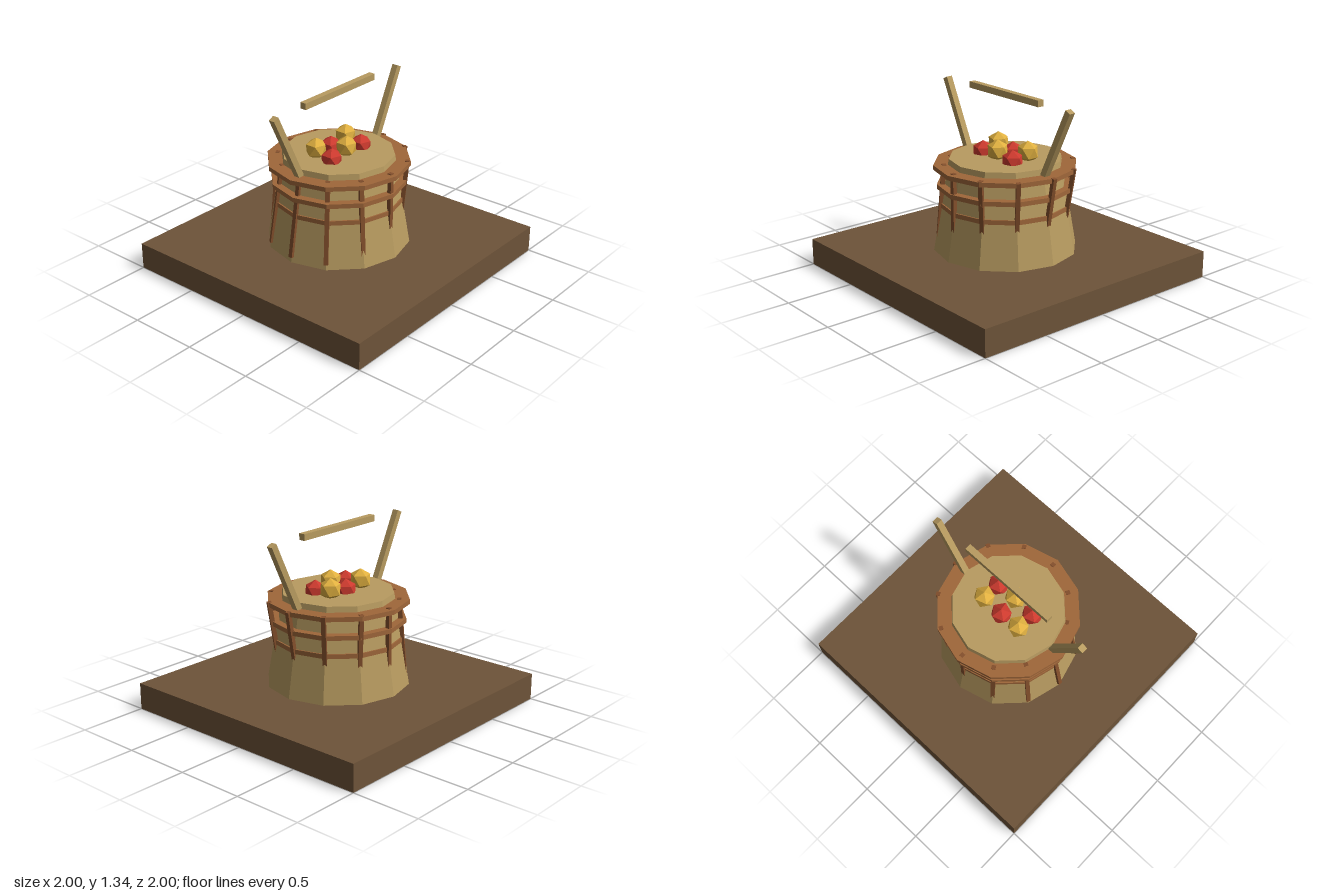
import * as THREE from 'three';

const mat = (color) => new THREE.MeshStandardMaterial({ color, flatShading: true });

export function createModel() {
  const model = new THREE.Group();
  model.name = 'fruitBasket';
  const soil = mat(0x6e5439), straw = mat(0xb89b60), band = mat(0xa0673a);
  const wood = mat(0x85502c), red = mat(0xcc3a2e), yellow = mat(0xe0b040);

  function add(name, geometry, material, x, y, z, parent = model) {
    const mesh = new THREE.Mesh(geometry, material);
    mesh.name = name;
    mesh.position.set(x, y, z);
    parent.add(mesh);
    return mesh;
  }

  // Square ground slab
  add('groundSlab', new THREE.BoxGeometry(2, 0.195, 2), soil, 0, 0.0975, 0);

  // Tapered twelve-sided basket body, closed on top
  add('basketBody', new THREE.CylinderGeometry(0.4, 0.515, 0.67, 12), straw, 0, 0.53, 0);

  // Hoops around the upper half
  for (const [radius, y] of [[0.51, 0.808], [0.487, 0.668], [0.465, 0.53]]) {
    add('hoop', new THREE.CylinderGeometry(radius, radius, 0.033, 12), band, 0, y, 0);
  }

  // Upright stakes, leaning by the cosine of their angle
  const stakeGeometry = new THREE.BoxGeometry(0.03, 0.6, 0.03);
  for (let i = 0; i < 12; i++) {
    const angle = (i / 12) * Math.PI * 2;
    const pivot = new THREE.Group();
    pivot.name = 'stakePivot';
    pivot.rotation.y = -angle;
    model.add(pivot);
    add('stake', stakeGeometry, wood, 0.46, 0.53, 0, pivot).rotation.z = -0.17 * Math.cos(angle);
  }

  // Handle: two slanted arms and a separate crossbar
  for (const side of [-1, 1]) {
    const arm = add('handleArm', new THREE.BoxGeometry(0.046, 0.636, 0.046), straw, side * 0.517, 1.031, 0);
    arm.rotation.z = -side * 0.45;
  }
  add('handleBar', new THREE.BoxGeometry(0.735, 0.046, 0.046), straw, 0, 1.317, 0);

  // Fruit: icosahedra turned to stand on a corner, colours alternating
  const fruitGeometry = new THREE.IcosahedronGeometry(0.08, 0);
  fruitGeometry.rotateZ(-Math.atan(2 / (1 + Math.sqrt(5))));
  for (let i = 0; i < 6; i++) {
    const column = i % 3, row = Math.floor(i / 3);
    const isRed = (column + row) % 2 === 1;
    add(isRed ? 'redFruit' : 'yellowFruit', fruitGeometry, isRed ? red : yellow,
      (column - 1) * 0.16, isRed ? 0.88 : 0.92, row ? 0.07 : -0.07);
  }
  return model;
}
